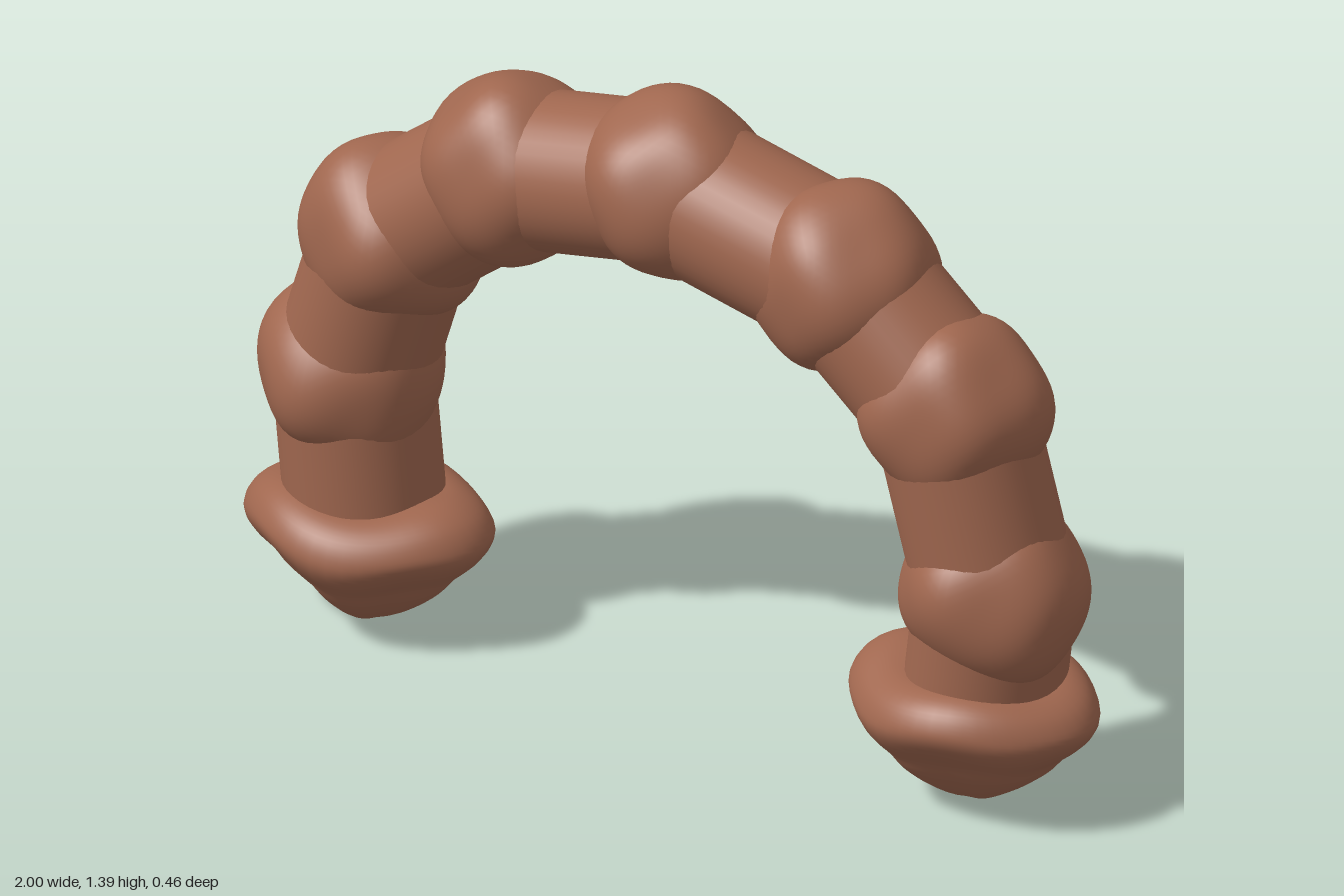
import * as THREE from 'three';
import { mergeVertices } from 'three/addons/utils/BufferGeometryUtils.js';

const rock = new THREE.MeshStandardMaterial({ color: 0xa0674f });
rock.name = 'reddish brown rock';

// Weld a geometry, move each vertex by a rule, then smooth it
function sculpt(geometry, rule) {
  geometry.deleteAttribute('uv');
  geometry.deleteAttribute('normal');
  const g = mergeVertices(geometry, 1e-4);
  const p = g.attributes.position, v = new THREE.Vector3();
  for (let i = 0; i < p.count; i++) {
    v.fromBufferAttribute(p, i);
    rule(v);
    p.setXYZ(i, v.x, v.y, v.z);
  }
  g.computeVertexNormals();
  return g;
}

// Lumpy boulder covering a bend of the arch
function boulder(seed) {
  return sculpt(new THREE.IcosahedronGeometry(1, 10), (v) => {
    const bump = Math.sin(4.2 * v.x + seed * 1.7) * Math.sin(3.8 * v.y + seed * 2.3)
      + Math.sin(4.5 * v.z + seed * 3.1) * Math.cos(3.5 * v.x + seed);
    v.multiplyScalar(0.198 + 0.008 * bump);
    v.z *= 0.96;
  });
}

// Wide foot with a rounded rim, an undercut and a blunt point below
function foot() {
  const outline = [[0, 0.005], [0.05, 0.02], [0.11, 0.055], [0.165, 0.1], [0.2, 0.14],
    [0.245, 0.18], [0.27, 0.215], [0.27, 0.245], [0.245, 0.28], [0.2, 0.302], [0.14, 0.305], [0, 0.29]];
  const curve = new THREE.SplineCurve(outline.map(([x, y]) => new THREE.Vector2(x, y)));
  const points = curve.getPoints(44);
  points.forEach((p) => { p.x = Math.max(p.x, 0); });
  points[0].x = points[44].x = 0;
  return sculpt(new THREE.LatheGeometry(points, 48), (v) => {
    const a = Math.atan2(v.z, v.x);
    const low = THREE.MathUtils.clamp((0.24 - v.y) / 0.12, 0, 1);
    const k = 1 + 0.025 * Math.cos(4 * a) + low * 0.07 * Math.sin(5 * a + 0.5);
    v.x *= k * 0.985;
    v.z *= k * 0.81;
    v.y += 0.01 * Math.sin(3 * a + 1) * Math.min(1, Math.hypot(v.x, v.z) / 0.2);
  });
}

export function createModel() {
  const arch = new THREE.Group();
  arch.name = 'rockArch';
  const add = (geometry, name) => {
    const mesh = new THREE.Mesh(geometry, rock);
    mesh.name = name;
    arch.add(mesh);
    return mesh;
  };

  // Bends of the arch from one foot to the other
  const bends = [[-0.74, 0.2], [-0.775, 0.56], [-0.67, 0.9], [-0.38, 1.125], [0, 1.195],
    [0.41, 1.1], [0.67, 0.875], [0.775, 0.49], [0.74, 0.2]]
    .map(([x, y]) => new THREE.Vector3(x, y, -0.01));

  // Straight stone columns between the bends
  const up = new THREE.Vector3(0, 1, 0);
  for (let i = 1; i < bends.length; i++) {
    const span = bends[i].clone().sub(bends[i - 1]);
    const column = add(new THREE.CylinderGeometry(0.166, 0.166, span.length(), 40), 'archColumn' + i);
    column.position.copy(bends[i]).addScaledVector(span, -0.5);
    column.quaternion.setFromUnitVectors(up, span.clone().normalize());
  }

  // Boulders over the bends
  bends.slice(1, -1).forEach((bend, i) => {
    add(boulder(i + 1), 'bendBoulder' + (i + 1)).position.copy(bend);
  });

  // Feet
  add(foot(), 'rightFoot').position.x = -0.727;
  const leftFoot = add(foot(), 'leftFoot');
  leftFoot.position.x = 0.727;
  leftFoot.rotation.y = Math.PI;
  return arch;
}
